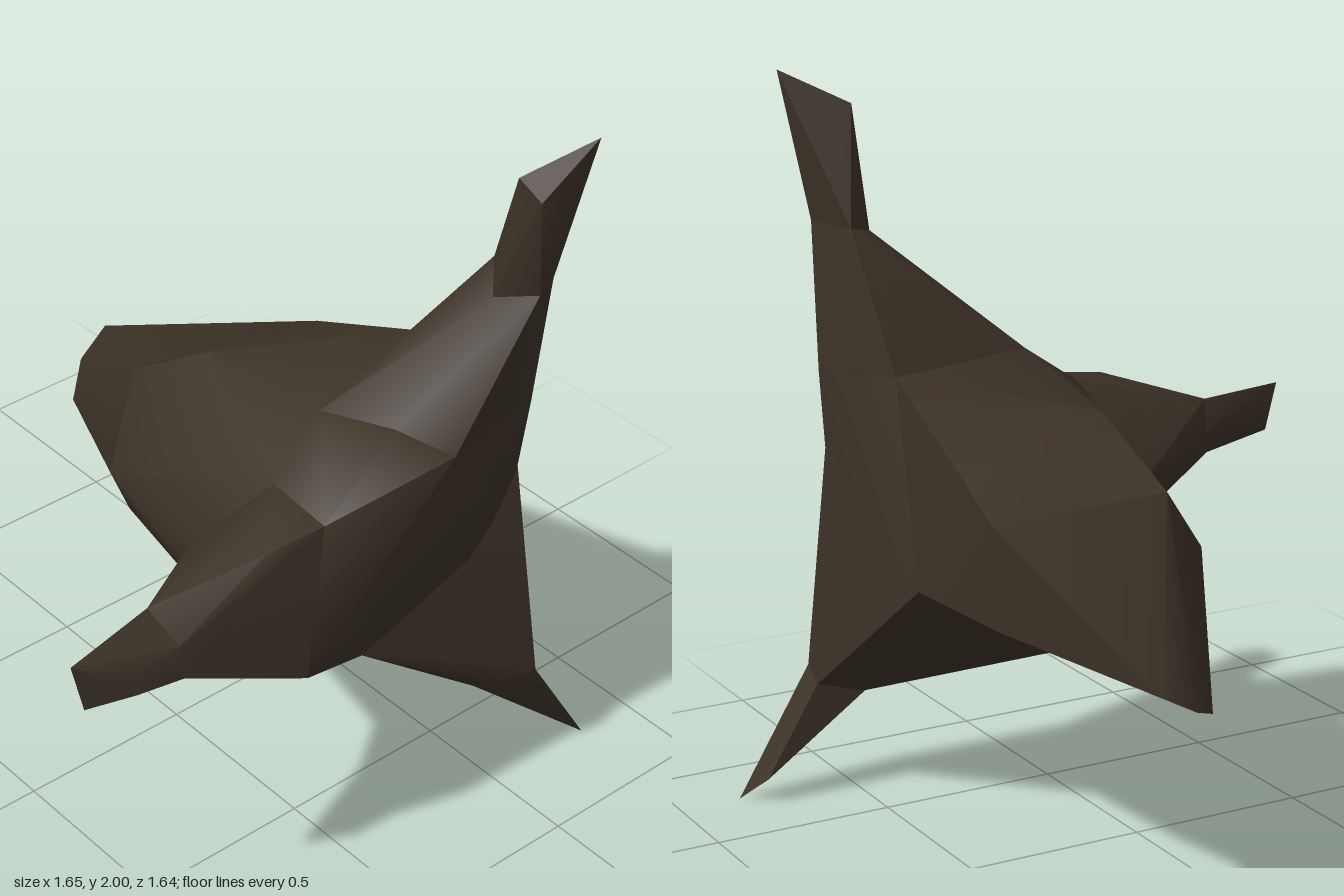
import * as THREE from 'three';
import { mergeVertices, toCreasedNormals } from 'three/addons/utils/BufferGeometryUtils.js';
import { ConvexGeometry } from 'three/addons/geometries/ConvexGeometry.js';

const darkBrown = new THREE.MeshStandardMaterial({ color: 0x3b3126 });
darkBrown.name = 'dark brown';

const V = (x, y, z) => new THREE.Vector3(x, y, z);

// Corners of the body that several limbs share
const frontUnder = V(0.13, 0.53, 0.6);
const backUnder = V(0.13, 0.49, 0.17);
const innerUnder = V(-0.17, 0.68, 0.41);
const outerUnder = V(0.54, 0.71, 0.2);
const innerSide = V(-0.2, 0.88, 0.3);
const innerTop = V(-0.1, 1.135, 0.5);
const outerTop = V(0.52, 1.25, 0.35);
const backTop = V(0.1, 1.185, 0.01);
const shoulder = V(0.15, 1.275, 0.66);
const saddle = V(0.08, 1.255, 0.46);
const chest = V(0.24, 1.22, 0.785);
const outerChest = V(0.575, 1.2, 0.71);
const outerFront = V(0.577, 1.0, 0.675);
const outerNotch = V(0.573, 0.74, 0.65);
const elbow = V(-0.2, 0.73, 0.755);
const crest = V(-0.1, 1.115, 0.69);

// Skin between two cross-sections, smooth except at hard edges
function segment(a, b) {
  const hull = new ConvexGeometry([...a, ...b]);
  hull.deleteAttribute('normal');
  return toCreasedNormals(mergeVertices(hull, 1e-4), 0.9);
}

// A limb is a chain of segments through its cross-sections, tip to root
function limb(name, sections) {
  const group = new THREE.Group();
  group.name = name;
  for (let i = 0; i + 1 < sections.length; i++) {
    const mesh = new THREE.Mesh(segment(sections[i], sections[i + 1]), darkBrown);
    mesh.name = `${name}Segment${i + 1}`;
    group.add(mesh);
  }
  return group;
}

export function createModel() {
  const model = new THREE.Group();
  model.name = 'fourPointedThorn';

  // Central body
  model.add(limb('body', [
    [innerTop, innerSide, innerUnder, elbow, crest, shoulder, saddle, chest, outerChest],
    [backTop, outerTop, outerFront, outerNotch, outerUnder, backUnder, frontUnder],
  ]));

  // Upright spike
  model.add(limb('topSpike', [
    [V(0.62, 2, 0.825), V(0.55, 1.87, 0.825), V(0.445, 1.88, 0.815), V(0.45, 1.91, 0.73), V(0.5, 1.86, 0.72)],
    [V(0.42, 1.57, 0.7), V(0.48, 1.6, 0.8), V(0.56, 1.6, 0.765), V(0.52, 1.6, 0.6)],
    [shoulder, saddle, chest, outerChest, V(0.5, 1.41, 0.5), outerTop],
  ]));

  // Downward spike
  model.add(limb('bottomSpike', [
    [V(0.825, 0, 0.765), V(0.77, 0.07, 0.69)],
    [V(0.615, 0.32, 0.69), V(0.48, 0.285, 0.67), V(0.5, 0.31, 0.72), V(0.6, 0.35, 0.78)],
    [frontUnder, backUnder, outerUnder, outerNotch, outerFront],
  ]));

  // Sideways spike with a blunt end
  model.add(limb('sideSpike', [
    [V(-0.83, 1.01, 0.62), V(-0.8, 0.87, 0.63), V(-0.69, 0.955, 0.69), V(-0.69, 0.9, 0.695)],
    [V(-0.55, 1.01, 0.56), V(-0.52, 0.93, 0.5), V(-0.57, 0.845, 0.58), V(-0.55, 0.88, 0.7), V(-0.55, 0.965, 0.68)],
    [V(-0.27, 1.1, 0.67), innerTop, innerSide, innerUnder, elbow, crest],
  ]));

  // Broad wedge reaching back
  model.add(limb('backWedge', [
    [V(0.405, 0.71, -0.82), V(0.3, 0.65, -0.8), V(0.2, 0.6, -0.71), V(0.22, 0.875, -0.5)],
    [V(0.53, 0.99, -0.2), V(0.05, 1.02, -0.24), V(-0.12, 0.82, -0.13), V(-0.08, 0.7, -0.1), V(0.13, 0.525, -0.1), V(0.51, 0.71, -0.2)],
    [backTop, V(0.53, 1.07, -0.05), outerTop, innerTop, innerSide, innerUnder, backUnder, outerUnder],
  ]));

  return model;
}
